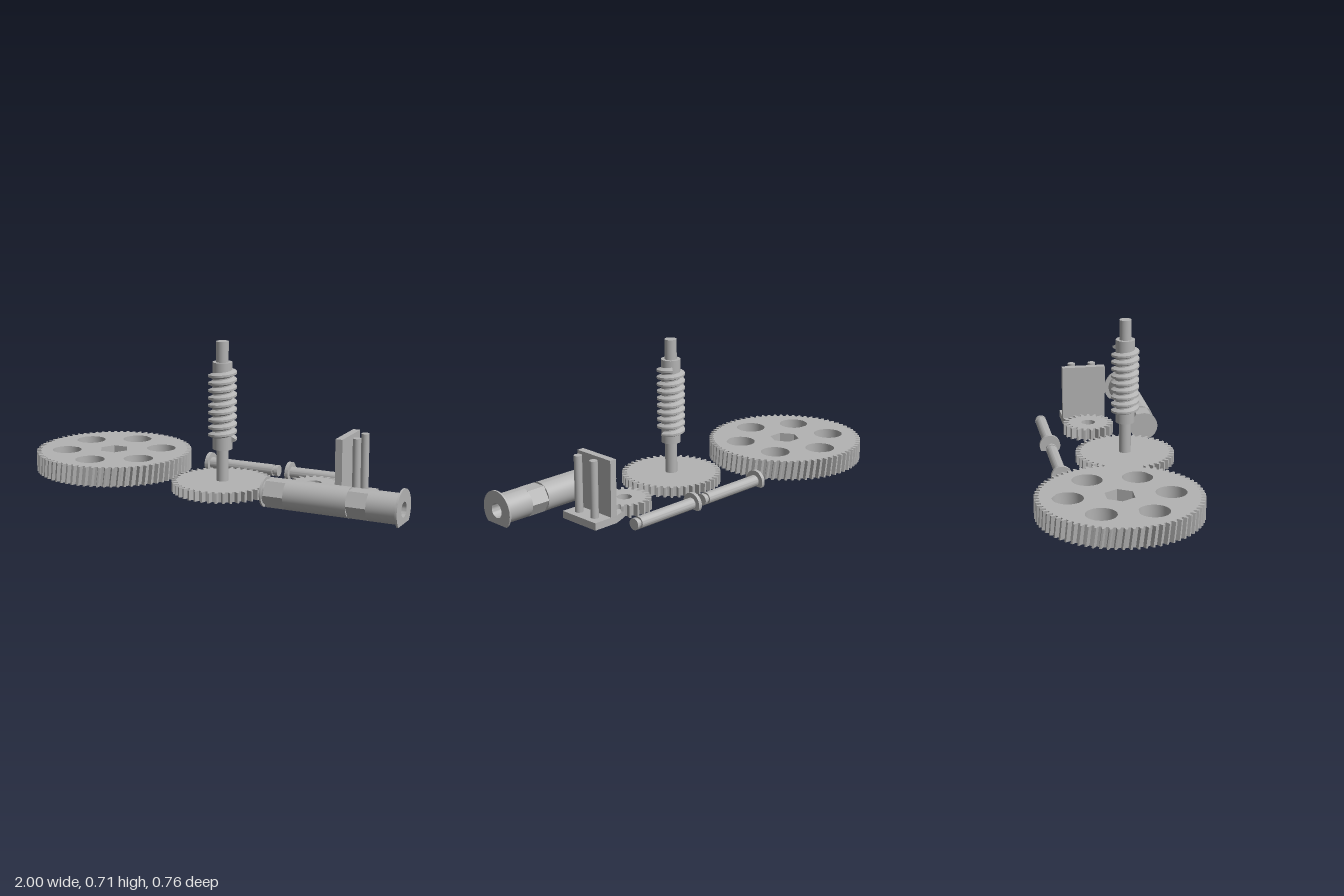
import * as THREE from 'three';
import { toCreasedNormals } from 'three/addons/utils/BufferGeometryUtils.js';

const grey = new THREE.MeshStandardMaterial({ color: 0xb3b3b3 });
grey.name = 'plain grey';

function add(parent, name, geometry, x = 0, y = 0, z = 0) {
  const mesh = new THREE.Mesh(geometry, grey);
  mesh.name = name;
  mesh.position.set(x, y, z);
  parent.add(mesh);
  return mesh;
}

function addGroup(parent, name, x, y, z) {
  const group = new THREE.Group();
  group.name = name;
  group.position.set(x, y, z);
  parent.add(group);
  return group;
}

// points of a regular polygon; many sides make a circle
function ring(r, sides, cx = 0, cy = 0) {
  return Array.from({ length: sides }, (_, i) => {
    const a = (i / sides) * Math.PI * 2;
    return new THREE.Vector2(cx + r * Math.cos(a), cy + r * Math.sin(a));
  });
}

// gear outline with trapezoid teeth
function gearPoints(teeth, rOut, depth) {
  const points = [];
  const corners = [[-0.32, depth], [-0.13, 0], [0.13, 0], [0.32, depth]];
  for (let i = 0; i < teeth; i++) {
    for (const [offset, cut] of corners) {
      const a = ((i + 0.5 + offset) / teeth) * Math.PI * 2;
      points.push(new THREE.Vector2((rOut - cut) * Math.cos(a), (rOut - cut) * Math.sin(a)));
    }
  }
  return points;
}

function extrude(points, holes, depth, steps = 1) {
  const shape = new THREE.Shape(points);
  shape.holes = holes.map((h) => new THREE.Path(h));
  return new THREE.ExtrudeGeometry(shape, { depth, steps, bevelEnabled: false });
}

// flat outline raised along y
const upright = (points, holes, depth) =>
  toCreasedNormals(extrude(points, holes, depth).rotateX(-Math.PI / 2), 0.4);

// bar section along x, cut flat where it would pass below the ground
function barSection(parent, name, x0, x1, r, axisY, sides = 48, hole = 0) {
  const points = ring(r, sides, 0, axisY).map((p) => p.setY(Math.max(p.y, 0)));
  const holes = hole ? [ring(hole, 32, 0, axisY)] : [];
  const g = extrude(points, holes, x1 - x0).rotateY(Math.PI / 2);
  add(parent, name, toCreasedNormals(g, 0.4), x0);
}

// helical gear: only the rim is twisted, so the holes stay straight
function helicalGear() {
  const holes = [ring(0.073, 6)];
  for (let i = 0; i < 6; i++) {
    const a = Math.PI / 6 + (i * Math.PI) / 3;
    holes.push(ring(0.071, 36, 0.233 * Math.cos(a), 0.233 * Math.sin(a)));
  }
  const g = extrude(gearPoints(72, 0.382, 0.022), holes, 0.094, 3);
  const p = g.attributes.position;
  for (let i = 0; i < p.count; i++) {
    const x = p.getX(i), y = p.getY(i);
    if (Math.hypot(x, y) < 0.33) continue;
    const t = 0.33 * p.getZ(i);
    p.setXY(i, x * Math.cos(t) - y * Math.sin(t), x * Math.sin(t) + y * Math.cos(t));
  }
  return toCreasedNormals(g.rotateX(-Math.PI / 2), 0.4);
}

// trapezoid thread swept along a right-hand helix
function wormThread(y0, y1, pitch) {
  const profile = [[0.044, -0.0155], [0.067, -0.005], [0.067, 0.005], [0.044, 0.0155]];
  const steps = Math.round(((y1 - y0) / pitch) * 40);
  const pos = [], index = [];
  for (let i = 0; i <= steps; i++) {
    const a = (i / 40) * Math.PI * 2;
    for (const [r, h] of profile) {
      pos.push(r * Math.cos(a), y0 + (i / 40) * pitch + h, -r * Math.sin(a));
    }
    if (i === steps) break;
    for (let j = 0; j < 3; j++) {
      const k = i * 4 + j;
      index.push(k, k + 4, k + 1, k + 1, k + 4, k + 5);
    }
  }
  const e = steps * 4;
  index.push(0, 1, 2, 0, 2, 3, e, e + 2, e + 1, e, e + 3, e + 2);
  const g = new THREE.BufferGeometry();
  g.setAttribute('position', new THREE.Float32BufferAttribute(pos, 3));
  g.setIndex(index);
  return toCreasedNormals(g, 0.4);
}

export function createModel() {
  const model = new THREE.Group();
  model.name = 'gear train parts';

  add(model, 'large helical gear', helicalGear(), -0.62, 0, 0);

  // spur gear with worm shaft
  const worm = addGroup(model, 'worm gear', 0.048, 0, 0.141);
  add(worm, 'spur gear', upright(gearPoints(43, 0.24, 0.025), [], 0.048));
  const shaft = (name, r, y0, y1) =>
    add(worm, name, new THREE.CylinderGeometry(r, r, y1 - y0, 40), 0, (y0 + y1) / 2, 0);
  shaft('lower shaft', 0.029, 0.04, 0.2);
  shaft('worm core', 0.046, 0.2, 0.613);
  shaft('upper shaft', 0.029, 0.613, 0.71);
  add(worm, 'worm thread', wormThread(0.247, 0.567, 0.035));

  // small gear joined to a bracket plate, with a slot underneath
  const bracket = addGroup(model, 'gear bracket', 0.465, 0, 0.026);
  const teeth = gearPoints(21, 0.127, 0.028);
  const v = (x, y) => new THREE.Vector2(x, y);
  const outline = [
    ...teeth.filter((p) => p.x < 0.07),
    v(0.085, -0.085), v(0.15, -0.11), v(0.278, -0.11),
    v(0.278, 0.11), v(0.15, 0.11), v(0.085, 0.085),
  ];
  const bore = ring(0.035, 32);
  const slot = ring(0.035, 32, 0, 0).map((p) => (p.x > 0 ? p.setX(p.x + 0.2) : p));
  add(bracket, 'slotted base', upright(outline, [slot], 0.02));
  add(bracket, 'base top', upright(outline, [bore], 0.015), 0, 0.02, 0);
  add(bracket, 'bracket gear', upright(teeth, [bore], 0.023), 0, 0.035, 0);
  add(bracket, 'wall', new THREE.BoxGeometry(0.034, 0.27, 0.22), 0.165, 0.17, 0);
  for (const s of [-1, 1]) {
    add(bracket, 'post', new THREE.CylinderGeometry(0.019, 0.019, 0.27, 32), 0.23, 0.17, s * 0.0525);
  }

  // two headed pins with a clip groove near the tip
  for (const x of [-0.194, 0.236]) {
    const pin = addGroup(model, 'pin', x, 0, -0.2);
    barSection(pin, 'pin head', 0, 0.018, 0.051, 0.027);
    barSection(pin, 'pin shaft', 0.018, 0.353, 0.028, 0.027);
    barSection(pin, 'pin groove', 0.353, 0.366, 0.021, 0.027);
    barSection(pin, 'pin tip', 0.366, 0.381, 0.028, 0.027);
  }

  // main axle with hexagonal seats, end flange and blind bore
  const axle = addGroup(model, 'main axle', 0, 0, 0.29);
  const y = 0.065;
  barSection(axle, 'axle tip', 0.337, 0.345, 0.07, y);
  barSection(axle, 'axle groove', 0.345, 0.355, 0.058, y);
  barSection(axle, 'inner hex seat', 0.355, 0.452, 0.071, y, 6);
  barSection(axle, 'axle barrel', 0.452, 0.752, 0.07, y);
  barSection(axle, 'outer hex seat', 0.752, 0.847, 0.071, y, 6);
  barSection(axle, 'axle end', 0.847, 0.991, 0.07, y, 48, 0.035);
  barSection(axle, 'axle flange', 0.991, 1, 0.093, y, 64, 0.035);

  return model;
}
